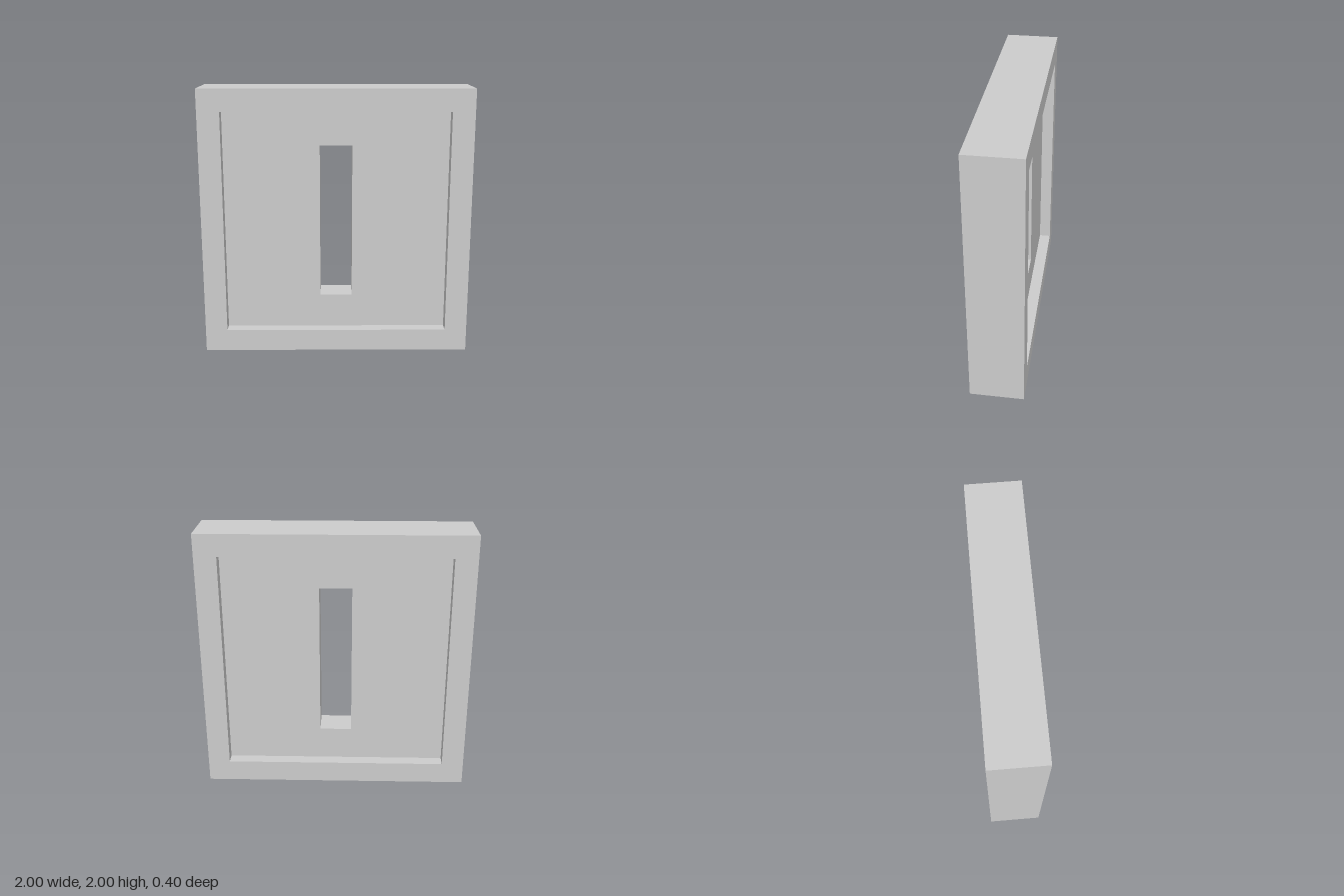
import * as THREE from 'three';

const material = new THREE.MeshStandardMaterial({ color: 0xcccccc, flatShading: true });

// Traces a rectangle centred on the origin
function rect(path, w, h) {
  path.moveTo(-w / 2, -h / 2);
  path.lineTo(w / 2, -h / 2);
  path.lineTo(w / 2, h / 2);
  path.lineTo(-w / 2, h / 2);
  path.closePath();
  return path;
}

// Rectangular plate with a rectangular opening, centred in depth
function openPlate(name, [w, h], [holeW, holeH], depth) {
  const shape = rect(new THREE.Shape(), w, h);
  shape.holes.push(rect(new THREE.Path(), holeW, holeH));
  const geometry = new THREE.ExtrudeGeometry(shape, { depth, bevelEnabled: false });
  geometry.translate(0, 1, -depth / 2);
  const mesh = new THREE.Mesh(geometry, material);
  mesh.name = name;
  return mesh;
}

export function createModel() {
  const group = new THREE.Group();
  group.name = 'slottedBlock';
  const recess = [1.67, 1.67];
  // Deep square border
  group.add(openPlate('frame', [2, 2], recess, 0.4));
  // Thinner panel, recessed equally on both faces, with a vertical slot
  group.add(openPlate('slottedPanel', recess, [0.24, 1.16], 0.22));
  return group;
}
